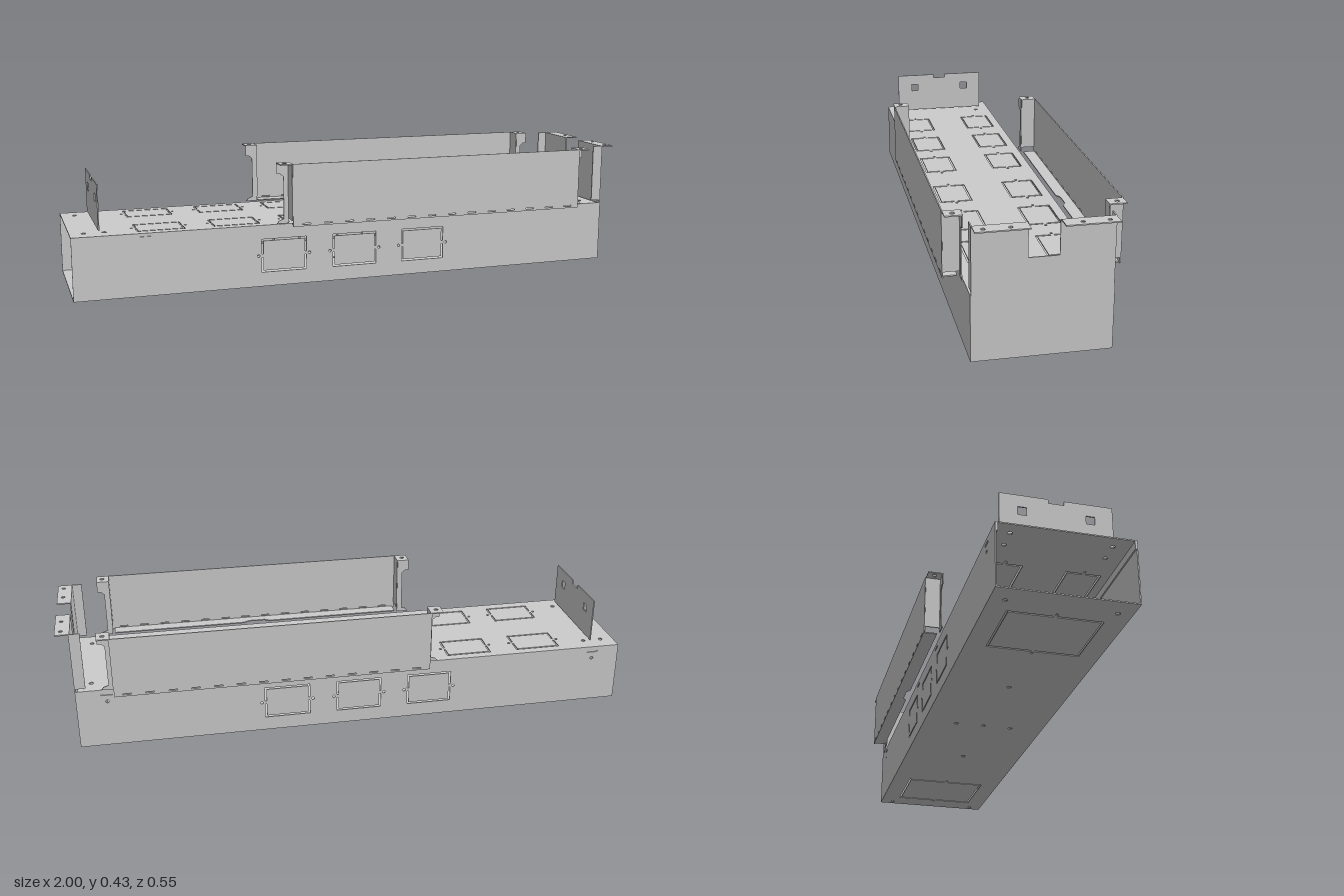
import * as THREE from 'three';

const T = 0.004; // sheet thickness
const mat = new THREE.MeshStandardMaterial({ color: 0xcccccc, side: THREE.DoubleSide });

// Outline helpers (2D point lists)
const rect = (x0, y0, x1, y1) => [[x0, y0], [x1, y0], [x1, y1], [x0, y1]];
const slot = (cx, cy, w, h) => rect(cx - w / 2, cy - h / 2, cx + w / 2, cy + h / 2);
const hole = (cx, cy, r, n = 10) => Array.from({ length: n }, (_, i) => {
  const a = (i / n) * Math.PI * 2;
  return [cx + r * Math.cos(a), cy + r * Math.sin(a)];
});

// Knockout: two C-shaped slits joined by bridges, with a pin hole at each side
function knockout(cx, cy, w, h) {
  const a = w / 2, b = h / 2, g = 0.006, br = 0.006;
  const slit = (s) => [[-a, br], [-a, b], [a, b], [a, br], [a - g, br], [a - g, b - g], [g - a, b - g], [g - a, br]]
    .map(([x, y]) => [cx + x, cy + s * y]);
  return [slit(1), slit(-1), hole(cx - a - 0.011, cy, 0.005, 8), hole(cx + a + 0.011, cy, 0.005, 8)];
}

// Flat sheet on a plane; at = mid-plane position along the plane's normal
// 'xy' faces z, 'xz' faces y, 'zy' faces x
function sheet(parent, name, plane, at, outline, holes = []) {
  const toV = (pts) => pts.map(([x, y]) => new THREE.Vector2(x, y));
  const shape = new THREE.Shape(toV(outline));
  shape.holes = holes.map((h) => new THREE.Path(toV(h)));
  const geo = new THREE.ExtrudeGeometry(shape, { depth: T, bevelEnabled: false });
  geo.translate(0, 0, -T / 2);
  if (plane === 'xz') geo.rotateX(Math.PI / 2);
  if (plane === 'zy') geo.rotateY(-Math.PI / 2);
  const mesh = new THREE.Mesh(geo, mat);
  mesh.name = name;
  mesh.position.set(plane === 'zy' ? at : 0, plane === 'xz' ? at : 0, plane === 'xy' ? at : 0);
  parent.add(mesh);
}

function group(parent, name) {
  const g = new THREE.Group();
  g.name = name;
  parent.add(g);
  return g;
}

export function createModel() {
  const model = new THREE.Group();
  model.name = 'sheetMetalDuct';
  const X0 = -1, X1 = 0.955, H = 0.215, W = 0.215;

  // Duct body, open at the -x end
  const body = group(model, 'ductBody');

  const lidHoles = [];
  for (const x of [-0.70, -0.44, -0.185, 0.132, 0.39, 0.645])
    for (const z of [-0.129, 0.124]) lidHoles.push(...knockout(x, z, 0.162, 0.114));
  for (const x of [-0.953, -0.886, 0.835, 0.9])
    for (const z of [-0.16, 0.157]) lidHoles.push(hole(x, z, 0.008));
  sheet(body, 'lid', 'xz', H - T / 2, rect(X0, -W, X1 - 0.01, W), lidHoles);

  const floorHoles = [];
  for (const s of [1, -1]) {
    floorHoles.push(...knockout(s * 0.75, 0, 0.24, 0.3));
    for (const z of [-0.17, 0.17]) floorHoles.push(hole(s * 0.93, z, 0.008));
  }
  for (const [x, z] of [[0, 0], [0.32, 0], [-0.35, 0], [0, 0.1], [0, -0.1]]) floorHoles.push(hole(x, z, 0.008));
  sheet(body, 'floor', 'xz', T / 2, rect(X0, -W, X1, W), floorHoles);

  for (const s of [1, -1]) {
    const holes = [];
    for (const x of [-0.284, -0.027, 0.23]) holes.push(...knockout(x, 0.108, 0.16, 0.116));
    for (const x of s > 0 ? [-0.76, -0.19, 0.135, 0.7] : [-0.9, -0.19, 0.135, 0.85])
      holes.push(slot(x, s > 0 ? 0.207 : 0.197, 0.04, 0.007));
    if (s < 0) for (const x of [-0.9, 0.85]) holes.push(hole(x, 0.17, 0.006));
    sheet(body, s > 0 ? 'frontWall' : 'backWall', 'xy', s * W, rect(X0, 0, X1, H), holes);
    // Folded lip under the lid edge
    sheet(body, 'lidLip', 'xy', s * (W - T), rect(X0, 0.185, X1 - 0.01, H - T));
  }

  // Tall end plate with cable notch, side returns and top tabs
  const end = group(model, 'endPlate');
  const top = 0.43, n = 0.047;
  sheet(end, 'endWall', 'zy', X1 - T / 2,
    [[-W, 0], [W, 0], [W, top], [n, top], [n, 0.32], [-n, 0.32], [-n, top], [-W, top]]);
  for (const s of [1, -1]) {
    sheet(end, 'sideReturn', 'xy', s * (W - T / 2), rect(0.918, 0.225, X1, top));
    sheet(end, 'topTab', 'xz', top - T / 2, rect(X1 - T, s * 0.05, 1, s * 0.213),
      [hole(0.98, s * 0.105, 0.007), hole(0.98, s * 0.185, 0.007)]);
  }

  // Upright plate near the open end
  sheet(model, 'uprightPlate', 'zy', -0.905,
    [[-0.18, 0.225], [0.18, 0.225], [0.18, 0.38], [0.025, 0.38], [0.025, 0.366], [-0.025, 0.366], [-0.025, 0.38], [-0.18, 0.38]],
    [slot(0.108, 0.325, 0.028, 0.028), slot(-0.108, 0.325, 0.028, 0.028)]);

  // Raised side panels: outer face, inward bottom flange and folded ends
  for (const s of [1, -1]) {
    const panel = group(model, s > 0 ? 'frontSidePanel' : 'backSidePanel');
    const xa = -0.268, xb = 0.823, zo = s * 0.275, zi = s * 0.222;
    const bendSlots = [];
    for (let i = 0; i < 14; i++) bendSlots.push(slot(-0.22 + i * 0.077, 0.223, 0.03, 0.004));
    sheet(panel, 'outerFace', 'xy', zo, rect(xa, H, xb, top), bendSlots);
    sheet(panel, 'bottomFlange', 'xz', H + T / 2,
      [[xa + 0.008, zo], [xb - 0.008, zo], [xb - 0.008, s * 0.23], [0.33, s * 0.23], [0.31, s * 0.242],
        [0.25, s * 0.242], [0.23, s * 0.23], [xa + 0.008, s * 0.23]]);
    for (const [x, d] of [[xa, -1], [xb, 1]]) {
      sheet(panel, 'endFlange', 'zy', x, rect(zi, 0.235, zo, top));
      // Outward strip, wider at its head and foot
      sheet(panel, 'mountingStrip', 'xy', zi,
        [[0, 0.218], [0.042, 0.218], [0.035, 0.228], [0.018, 0.234], [0.018, 0.38], [0.03, 0.39], [0.042, 0.39], [0.042, top], [0, top]]
          .map(([u, y]) => [x + d * u, y]));
      sheet(panel, 'mountingTab', 'xz', top - T / 2, rect(x, zi, x + d * 0.042, zo),
        [hole(x + d * 0.022, s * 0.249, 0.008)]);
    }
  }
  return model;
}
